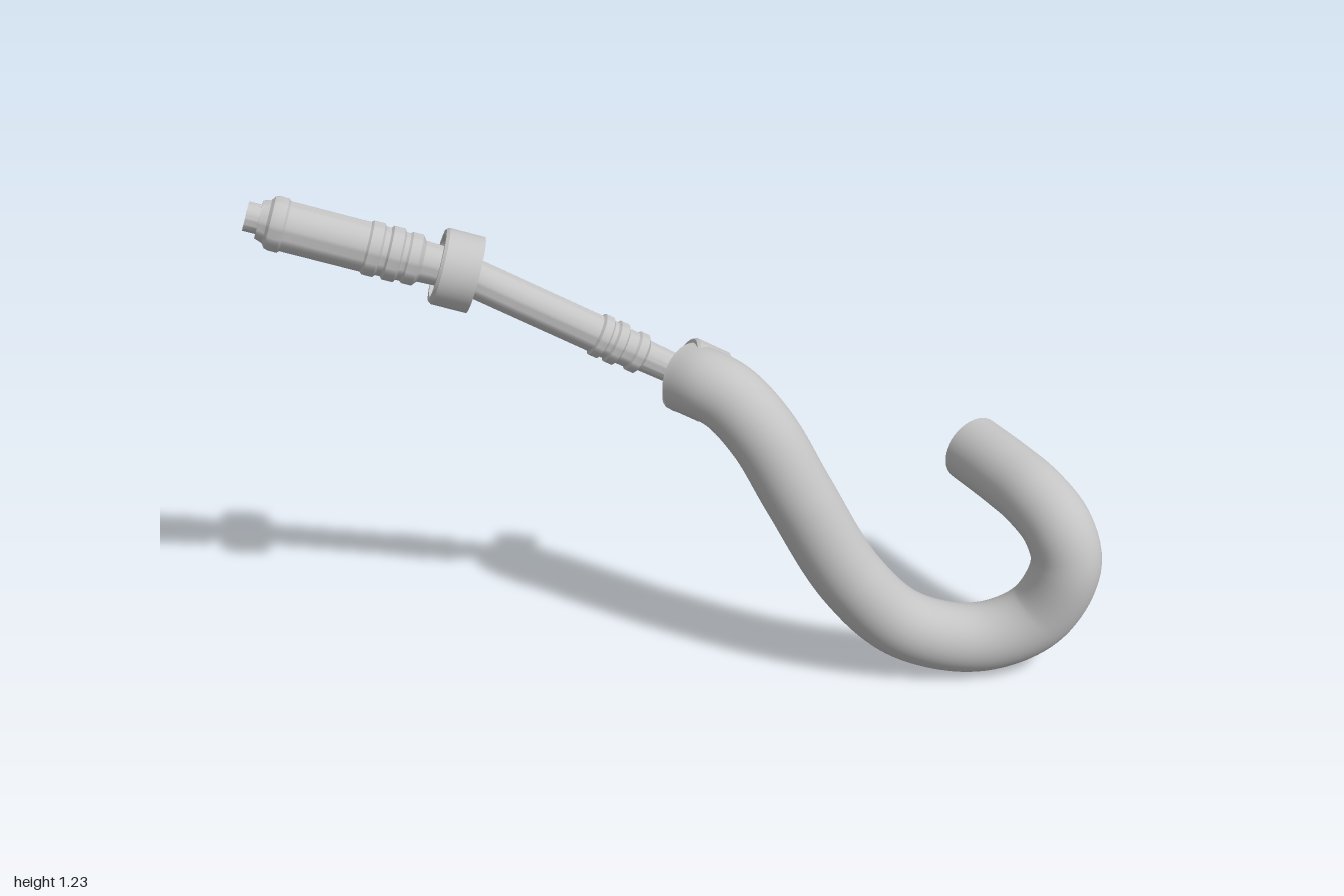
import * as THREE from 'three';
import { toCreasedNormals } from 'three/addons/utils/BufferGeometryUtils.js';

const V = (x, y, z) => new THREE.Vector3(x, y, z);
const UP = V(0, 1, 0);

export function createModel() {
  const model = new THREE.Group();
  const grey = new THREE.MeshStandardMaterial({ color: 0xc4c4c4 });
  grey.name = 'light grey';

  // Turned part: profile of [radius, distance] along the axis from start towards end
  function turned(name, profile, start, end) {
    const points = profile.map(([r, t]) => new THREE.Vector2(r, t));
    const geometry = toCreasedNormals(new THREE.LatheGeometry(points, 40), 0.6);
    const mesh = new THREE.Mesh(geometry, grey);
    mesh.name = name;
    mesh.position.copy(start);
    mesh.quaternion.setFromUnitVectors(UP, end.clone().sub(start).normalize());
    model.add(mesh);
  }

  const tip = V(-0.99, 1.19, -0.06);
  const upperJoint = V(-0.527, 1.04, -0.06);
  const lowerJoint = V(0.025, 0.735, -0.062);

  // Grip with hollow tip, end ring and three ridges
  turned('grip', [
    [0, 0.025], [0.024, 0.025], [0.024, 0], [0.034, 0], [0.034, 0.03],
    [0.044, 0.03], [0.05, 0.048], [0.06, 0.055], [0.063, 0.065], [0.063, 0.085],
    [0.058, 0.09], [0.058, 0.275],
    [0.063, 0.28], [0.063, 0.305], [0.057, 0.31], [0.057, 0.322],
    [0.063, 0.327], [0.063, 0.352], [0.056, 0.357], [0.056, 0.367],
    [0.06, 0.372], [0.06, 0.395], [0.048, 0.405], [0.045, 0.5], [0, 0.5],
  ], tip, upperJoint);

  // Straight rod with ridges near its lower end
  turned('rod', [
    [0, -0.02], [0.045, -0.02], [0.045, 0.36],
    [0.052, 0.365], [0.052, 0.385], [0.046, 0.39], [0.046, 0.4],
    [0.052, 0.405], [0.052, 0.425], [0.044, 0.43], [0.044, 0.455],
    [0.049, 0.46], [0.049, 0.48], [0.038, 0.488], [0.036, 0.6], [0, 0.6],
  ], upperJoint, lowerJoint);

  // Open collars around both joints
  const collar = [
    [0.074, -0.045], [0.085, -0.045], [0.09, -0.038], [0.09, 0.045], [0.08, 0.045],
    [0.08, -0.03], [0.074, -0.036], [0.074, -0.045],
  ];
  const along = (from, to) => to.clone().add(to.clone().sub(from));
  turned('upperCollar', collar, upperJoint, along(tip, upperJoint));
  turned('lowerCollar', collar, lowerJoint, along(upperJoint, lowerJoint));

  // Curved hook tube with flat ends
  const radius = 0.085;
  const path = new THREE.CatmullRomCurve3([
    V(0, 0.742, -0.06), V(0.045, 0.744, -0.015), V(0.1, 0.722, 0.02),
    V(0.175, 0.642, 0.062), V(0.255, 0.5, 0.097), V(0.385, 0.275, 0.123),
    V(0.525, 0.135, 0.125), V(0.71, 0.09, 0.125), V(0.85, 0.15, 0.125),
    V(0.91, 0.29, 0.125), V(0.89, 0.375, 0.092), V(0.845, 0.42, 0.02),
    V(0.80, 0.435, -0.06), V(0.73, 0.445, -0.19),
  ]);
  const tube = new THREE.Mesh(new THREE.TubeGeometry(path, 120, radius, 40), grey);
  tube.name = 'hookTube';
  model.add(tube);
  for (const [name, u, sign] of [['hookInnerCap', 0, -1], ['hookEndCap', 1, 1]]) {
    const cap = new THREE.Mesh(new THREE.CircleGeometry(radius, 40), grey);
    cap.name = name;
    cap.position.copy(path.getPointAt(u));
    cap.quaternion.setFromUnitVectors(V(0, 0, 1), path.getTangentAt(u).multiplyScalar(sign));
    model.add(cap);
  }
  return model;
}
